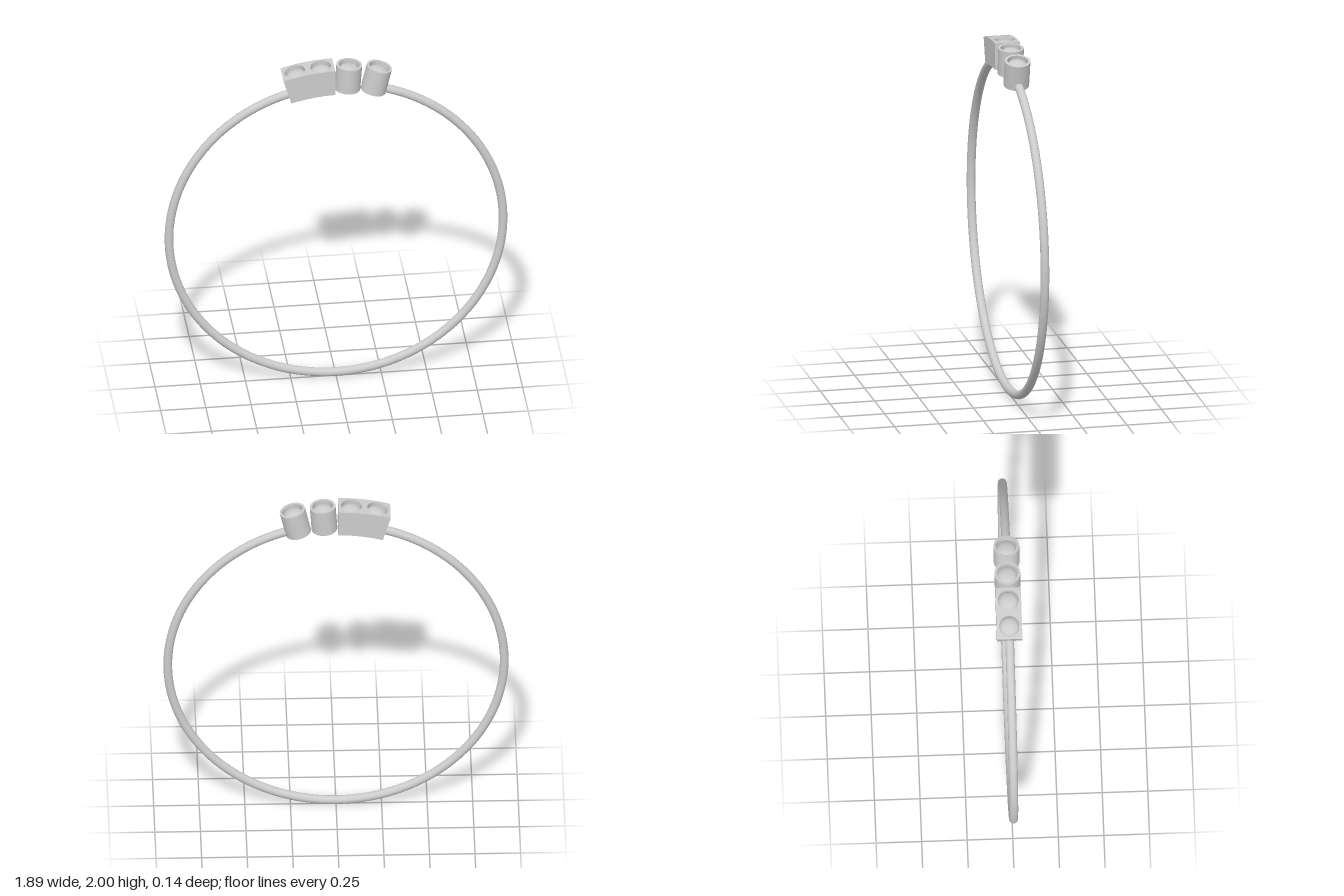
import * as THREE from 'three';
import { toCreasedNormals } from 'three/addons/utils/BufferGeometryUtils.js';

const CENTER_Y = 0.947, BAND_R = 0.923, TUBE_R = 0.024;
const INNER = 0.9, OUTER = 1.052, HALF_WIDTH = 0.07;
const SOCKET_R = 0.057, SOCKET_DEPTH = 0.03;
const rad = THREE.MathUtils.degToRad;

export function createModel() {
  const model = new THREE.Group();
  const material = new THREE.MeshStandardMaterial({ color: 0xcccccc });

  const add = (name, geometry, parent = model) => {
    const mesh = new THREE.Mesh(geometry, material);
    mesh.name = name;
    parent.add(mesh);
    return mesh;
  };

  // Group whose +y points outward from the band; angle runs clockwise from the top
  const mount = (name, degrees) => {
    const group = new THREE.Group();
    const a = rad(degrees);
    group.name = name;
    group.position.set(INNER * Math.sin(a), CENTER_Y + INNER * Math.cos(a), 0);
    group.rotation.z = -a;
    model.add(group);
    return group;
  };

  // Bend: x is an angle in radians, y a radius
  const bend = (geometry) => {
    const p = geometry.attributes.position;
    for (let i = 0; i < p.count; i++) {
      const a = p.getX(i), r = p.getY(i);
      p.setXY(i, r * Math.sin(a), CENTER_Y + r * Math.cos(a));
    }
    return toCreasedNormals(geometry, rad(35));
  };

  // Shallow domed stone seated in a socket
  const addStone = (group, top) => {
    const profile = [];
    for (let i = 0; i <= 10; i++) {
      const t = (i / 10) * Math.PI / 2;
      profile.push(new THREE.Vector2(0.054 * Math.cos(t), 0.027 * Math.sin(t)));
    }
    profile[10].x = 0;
    add('stone', new THREE.LatheGeometry(profile, 40), group).position.y = top - SOCKET_DEPTH;
  };

  // Band, open where the settings sit
  const band = add('band', new THREE.TorusGeometry(BAND_R, TUBE_R, 20, 160, rad(337)));
  band.position.y = CENTER_Y;
  band.rotation.z = rad(100);

  // Double setting: solid curved base
  const start = -16.5, end = -0.7, span = rad(end - start);
  const baseHeight = OUTER - SOCKET_DEPTH - INNER;
  const base = new THREE.BoxGeometry(span, baseHeight, HALF_WIDTH * 2, 16, 1, 1);
  base.translate(rad((start + end) / 2), INNER + baseHeight / 2, 0);
  add('doubleSettingBase', bend(base));

  // Double setting: two curved rim tiles, each with a round socket
  for (let k = 0; k < 2; k++) {
    const mid = rad(start) + span * (k + 0.5) / 2;
    const half = span * OUTER / 4;
    const shape = new THREE.Shape();
    shape.moveTo(-half, -HALF_WIDTH);
    for (let i = 1; i <= 8; i++) shape.lineTo(-half + half * i / 4, -HALF_WIDTH);
    for (let i = 0; i <= 8; i++) shape.lineTo(half - half * i / 4, HALF_WIDTH);
    shape.closePath();
    shape.holes.push(new THREE.Path().absarc(0, 0, SOCKET_R, 0, Math.PI * 2, true));
    const tile = new THREE.ExtrudeGeometry(shape, { depth: SOCKET_DEPTH, bevelEnabled: false, curveSegments: 20 });
    tile.rotateX(-Math.PI / 2);
    tile.scale(1 / OUTER, 1, 1);
    tile.translate(mid, OUTER - SOCKET_DEPTH, 0);
    add('doubleSettingRim', bend(tile));
    addStone(mount('doubleSettingStone', THREE.MathUtils.radToDeg(mid)), OUTER - INNER);
  }

  // Two round settings, hollowed at the top
  const height = 0.15;
  const cup = [[0, 0], [0.071, 0], [0.071, height], [SOCKET_R, height],
    [SOCKET_R, height - SOCKET_DEPTH], [0, height - SOCKET_DEPTH]]
    .map(([x, y]) => new THREE.Vector2(x, y));
  for (const degrees of [4, 13.2]) {
    const setting = mount('roundSetting', degrees);
    add('cup', toCreasedNormals(new THREE.LatheGeometry(cup, 40), rad(35)), setting);
    addStone(setting, height);
  }

  return model;
}
